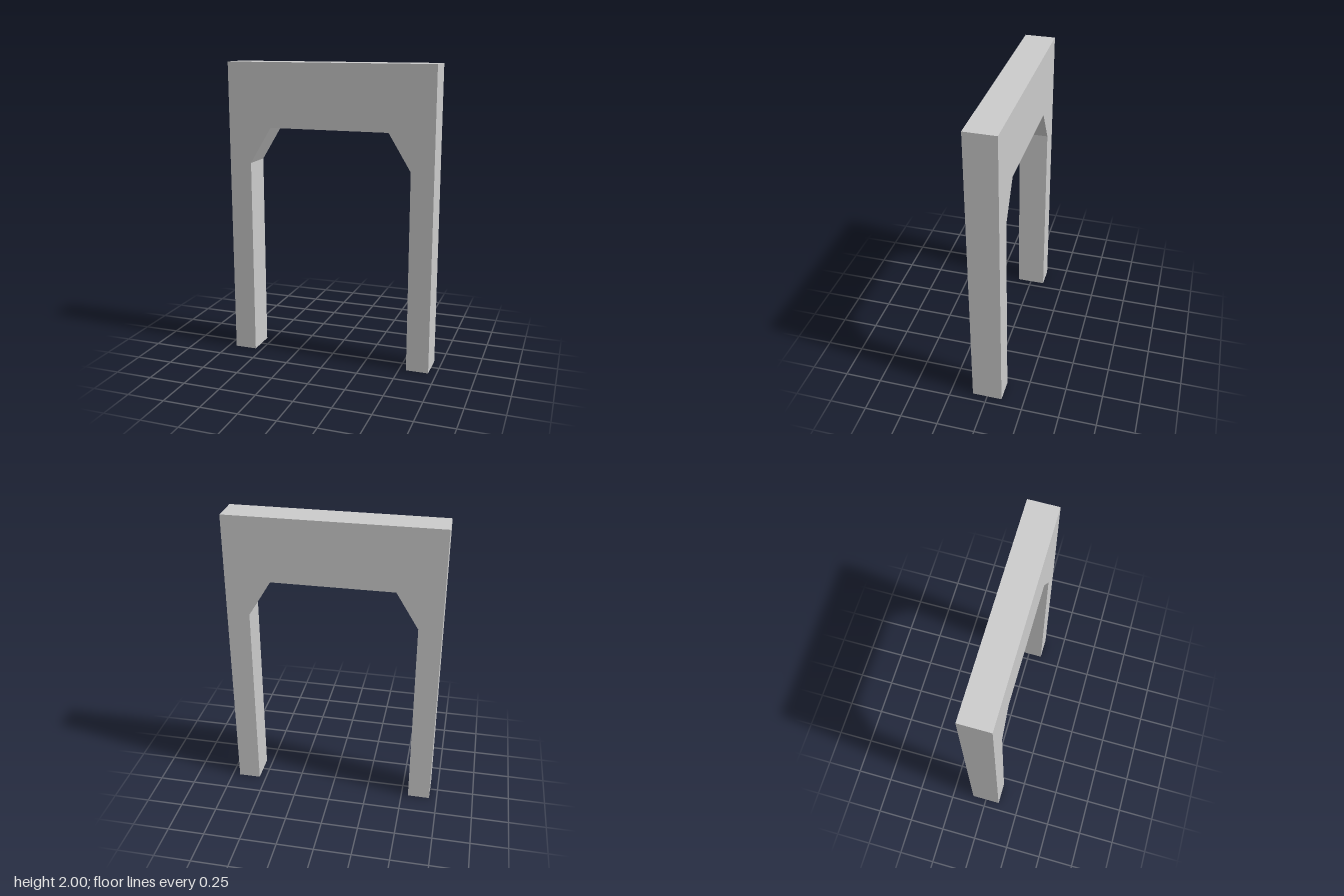
import * as THREE from 'three';

const DEPTH = 0.2;

export function createModel() {
  const group = new THREE.Group();
  group.name = 'archway';

  // Right half of the outline, from the outer foot of the leg inward is mirrored for the other side
  const half = [
    [0.4, 1.576],   // end of the flat lintel underside
    [0.547, 1.335], // bottom of the slanted corner
    [0.547, 0],     // inner foot
    [0.697, 0],     // outer foot
    [0.697, 2],     // top corner
  ];
  const mirrored = half.map(([x, y]) => [-x, y]).reverse();
  const outline = [...half, ...mirrored].map(([x, y]) => new THREE.Vector2(x, y));

  // Flat slab frame with legs, lintel and slanted corners in one piece
  const geometry = new THREE.ExtrudeGeometry(new THREE.Shape(outline), {
    depth: DEPTH,
    bevelEnabled: false,
  });
  geometry.translate(0, 0, -DEPTH / 2);

  const frame = new THREE.Mesh(
    geometry,
    new THREE.MeshStandardMaterial({ color: 0xcccccc, flatShading: true })
  );
  frame.name = 'archFrame';
  group.add(frame);
  return group;
}
